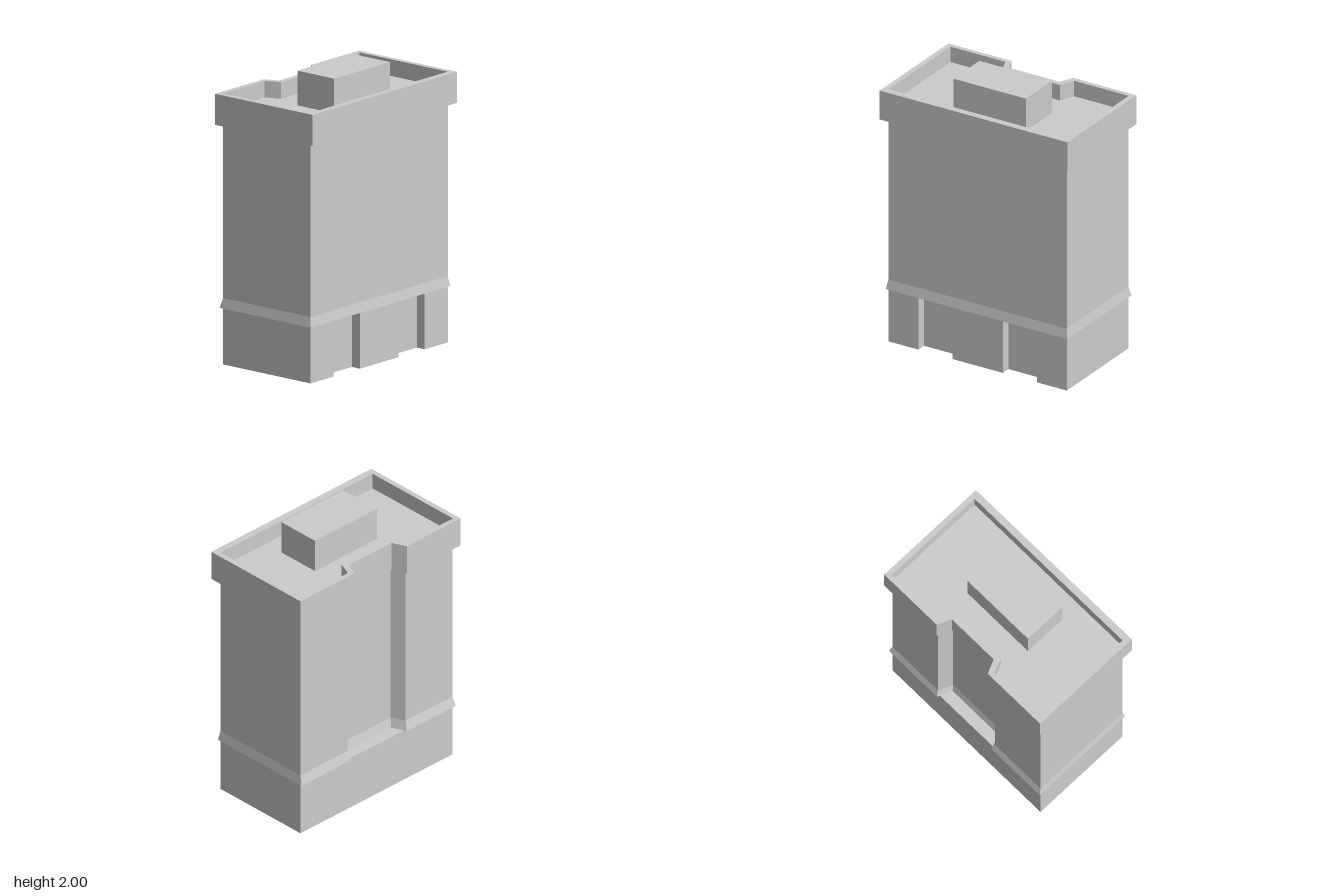
import * as THREE from 'three';

const material = new THREE.MeshStandardMaterial({ color: 0xcccccc });

// Plan outline with a splayed notch in the -x side, counter-clockwise from above
function outline(x0, x1, z, mouthZ, notchX, notchZ) {
  return [
    [x0, -z], [x1, -z], [x1, z], [x0, z],
    [x0, mouthZ], [notchX, notchZ], [notchX, -notchZ], [x0, -mouthZ],
  ].map(([x, y]) => new THREE.Vector2(x, y));
}

// Upright prism over a plan outline
function prism(points, y0, y1, hole) {
  const shape = new THREE.Shape(points);
  if (hole) shape.holes.push(new THREE.Path(hole));
  const g = new THREE.ExtrudeGeometry(shape, { depth: y1 - y0, bevelEnabled: false });
  return g.rotateX(-Math.PI / 2).translate(0, y0, 0);
}

// Sloping band between two plan outlines
function band(lower, y0, upper, y1) {
  const pos = [];
  lower.forEach((a, i) => {
    const j = (i + 1) % lower.length;
    const b = lower[j], c = upper[j], d = upper[i];
    const A = [a.x, y0, -a.y], B = [b.x, y0, -b.y];
    const C = [c.x, y1, -c.y], D = [d.x, y1, -d.y];
    pos.push(...A, ...B, ...C, ...A, ...C, ...D);
  });
  const g = new THREE.BufferGeometry();
  g.setAttribute('position', new THREE.Float32BufferAttribute(pos, 3));
  g.computeVertexNormals();
  return g;
}

export function createModel() {
  const model = new THREE.Group();
  model.name = 'building';
  const add = (name, geometry, parent = model) => {
    const mesh = new THREE.Mesh(geometry, material);
    mesh.name = name;
    parent.add(mesh);
    return mesh;
  };

  const bodyPlan = outline(-0.39, 0.38, 0.708, 0.272, -0.29, 0.228);
  const skirtPlan = outline(-0.41, 0.392, 0.72, 0.262, -0.305, 0.218);
  const cornicePlan = outline(-0.43, 0.43, 0.745, 0.245, -0.33, 0.2);
  const roofPlan = outline(-0.395, 0.38, 0.707, 0.272, -0.29, 0.228);

  // Ground floor with two shallow doorways in the +x side
  const xWall = 0.38, xDoor = 0.31;
  const basePlan = [
    [-0.39, -0.708], [xWall, -0.708],
    [xWall, -0.47], [xDoor, -0.47], [xDoor, -0.2], [xWall, -0.2],
    [xWall, 0.2], [xDoor, 0.2], [xDoor, 0.47], [xWall, 0.47],
    [xWall, 0.708], [-0.39, 0.708],
  ].map(([x, y]) => new THREE.Vector2(x, y));
  add('groundFloor', prism(basePlan, 0, 0.39));

  // Flared skirt where the upper floors begin
  add('skirt', band(skirtPlan, 0.39, bodyPlan, 0.46));
  add('skirtUnderside',
    new THREE.ShapeGeometry(new THREE.Shape(skirtPlan)).rotateX(Math.PI / 2).translate(0, 0.39, 0));

  // Upper floors
  add('upperFloors', prism(bodyPlan, 0.46, 1.66));

  // Cornice, parapet and sunken roof
  add('cornice', prism(cornicePlan, 1.66, 1.76));
  add('parapet', prism(cornicePlan, 1.76, 1.875, roofPlan));

  // Roof house
  add('roofHouse', new THREE.BoxGeometry(0.325, 0.24, 0.575)).position.set(0.067, 1.88, 0);

  // Windows on the front and back walls
  const windows = new THREE.Group();
  windows.name = 'windows';
  model.add(windows);
  const pane = new THREE.PlaneGeometry(0.168, 0.282);
  for (const side of [1, -1]) {
    for (const y of [0.658, 1.078, 1.498]) {
      for (const x of [-0.173, 0.173]) {
        const mesh = add(side > 0 ? 'frontWindow' : 'backWindow', pane, windows);
        mesh.position.set(x, y, side * 0.712);
        if (side < 0) mesh.rotation.y = Math.PI;
      }
    }
  }

  return model;
}
